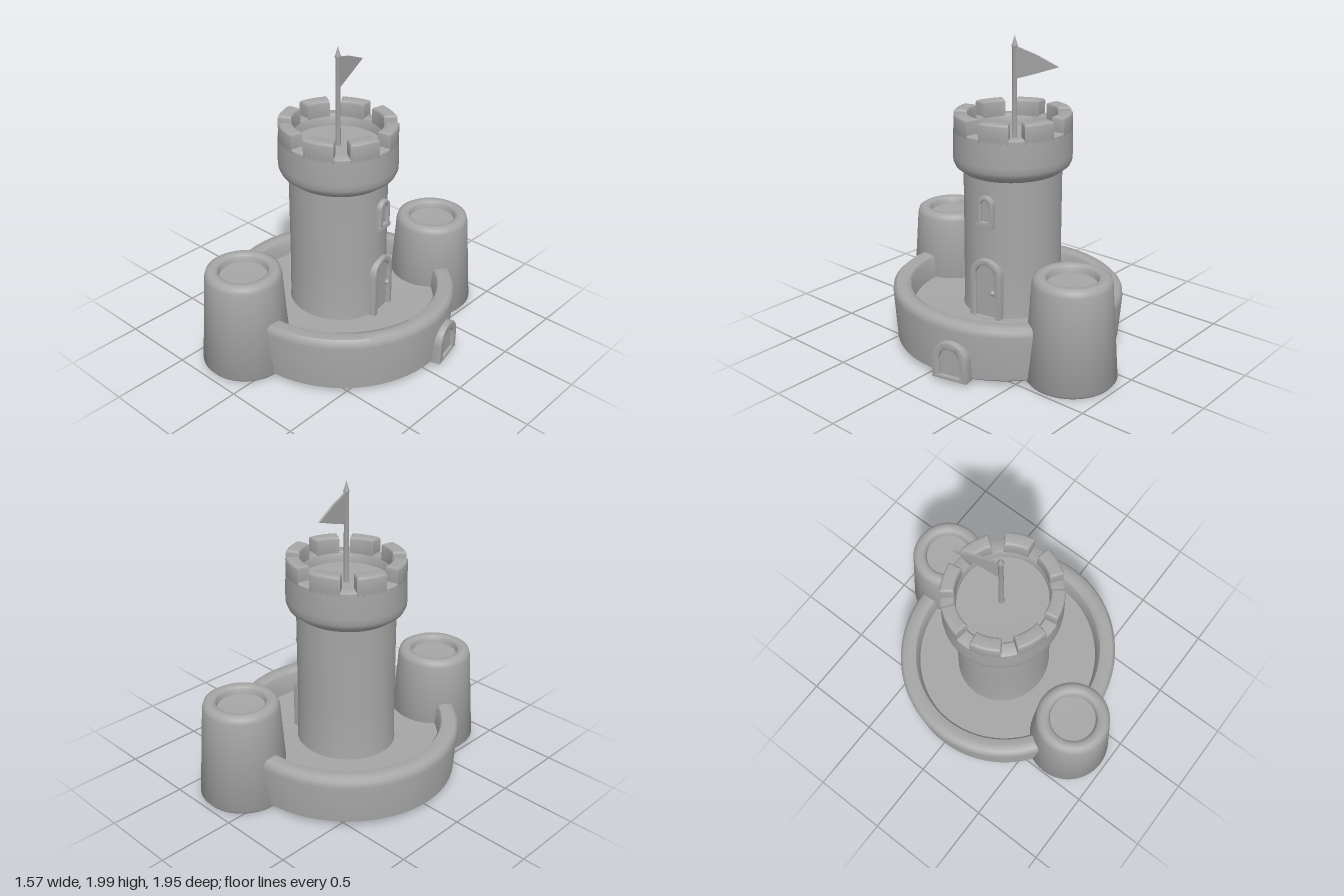
import * as THREE from 'three';
import { toCreasedNormals } from 'three/addons/utils/BufferGeometryUtils.js';

const stone = new THREE.MeshStandardMaterial({ color: 0xa6a6a6 });
stone.name = 'grey stone';
const stoneSheet = stone;

function mesh(name, geometry, x = 0, y = 0, z = 0) {
  const m = new THREE.Mesh(geometry, stoneSheet);
  m.name = name;
  m.position.set(x, y, z);
  return m;
}

function lathe(points, segments = 64) {
  return new THREE.LatheGeometry(points.map(([r, y]) => new THREE.Vector2(r, y)), segments);
}
const crease = (g) => toCreasedNormals(g, 0.75);

// Round-topped outline, standing on y = 0
function archPath(path, width, height, base = 0) {
  const r = width / 2;
  path.moveTo(-r, base);
  path.lineTo(r, base);
  path.lineTo(r, height - r);
  path.absarc(0, height - r, r, 0, Math.PI, false);
  path.lineTo(-r, base);
  return path;
}

// Framed arched opening facing local +z, frame front at z = 0
function archway(name, width, height, border, sill) {
  const g = new THREE.Group();
  g.name = name;
  const b = 0.008;
  const outline = archPath(new THREE.Shape(), width - 2 * b, height - b);
  outline.holes.push(archPath(new THREE.Path(), width - 2 * border, height - border, sill));
  const frame = new THREE.ExtrudeGeometry(outline, {
    depth: 0.07, bevelThickness: b, bevelSize: b, bevelSegments: 2, curveSegments: 12,
  });
  frame.translate(0, 0, -0.07 - b);
  const panel = new THREE.ExtrudeGeometry(
    archPath(new THREE.Shape(), width - border, height - border / 2),
    { depth: 0.05, bevelEnabled: false, curveSegments: 12 });
  panel.translate(0, 0, -0.07);
  g.add(mesh(name + 'Frame', crease(frame)), mesh(name + 'Panel', crease(panel)));
  return g;
}

// Tapered bucket-shaped tower with a shallow dish in its top
function sideTower(name, x, z, bottom, top) {
  const g = lathe([
    [0, bottom], [0.272, bottom], [0.287, bottom + 0.02], [0.243, top - 0.045],
    [0.234, top - 0.015], [0.21, top], [0.175, top], [0.158, top - 0.012],
    [0.15, top - 0.05], [0, top - 0.055],
  ], 48);
  return mesh(name, crease(g), x, 0, z);
}

export function createModel() {
  const model = new THREE.Group();
  model.name = 'castle';

  // Courtyard with its raised rim, whose top leans slightly
  const yard = lathe([
    [0, 0.03], [0.725, 0.03], [0.745, 0.045], [0.766, 0.33], [0.762, 0.365],
    [0.742, 0.385], [0.69, 0.388], [0.655, 0.38], [0.642, 0.36], [0.632, 0.25], [0, 0.24],
  ], 96);
  yard.scale(1, 1, 0.972);
  const p = yard.attributes.position;
  for (let i = 0; i < p.count; i++) {
    if (p.getY(i) > 0.3) p.setY(i, p.getY(i) + 0.027 * p.getX(i) + 0.025 * p.getZ(i));
  }
  model.add(mesh('courtyardWall', crease(yard), -0.017, 0, 0));

  // Two side towers
  model.add(sideTower('frontTower', -0.21, 0.685, 0.025, 0.7));
  model.add(sideTower('rearTower', 0.205, -0.69, 0.01, 0.683));

  // Central keep
  const keep = new THREE.Group();
  keep.name = 'keep';
  keep.position.set(-0.047, 0, -0.012);
  keep.scale.z = 0.95;
  keep.add(mesh('keepShaft', crease(lathe([
    [0, 0.2], [0.337, 0.2], [0.328, 0.27], [0.324, 0.6], [0.324, 1.2], [0, 1.2]]))));
  keep.add(mesh('keepCrown', crease(lathe([
    [0.31, 1.14], [0.328, 1.155], [0.375, 1.19], [0.389, 1.22], [0.391, 1.26], [0.386, 1.425],
    [0.376, 1.432], [0.305, 1.432], [0.296, 1.42], [0.292, 1.36], [0, 1.35]]))));

  // Eight battlements with gaps on the axes and diagonals
  const bevel = 0.016;
  const half = THREE.MathUtils.degToRad(15.2) - bevel / 0.35;
  const sector = new THREE.Shape();
  sector.absarc(0, 0, 0.386 - bevel, -half, half, false);
  sector.absarc(0, 0, 0.296 + bevel, half, -half, true);
  const block = new THREE.ExtrudeGeometry(sector, {
    depth: 0.11, bevelThickness: bevel, bevelSize: bevel, bevelSegments: 3, curveSegments: 8,
  });
  block.rotateX(-Math.PI / 2);
  const merlon = crease(block);
  for (let i = 0; i < 8; i++) {
    const m = mesh('battlement', merlon, 0, 1.403, 0);
    m.rotation.y = (i + 0.5) * Math.PI / 4;
    keep.add(m);
  }
  model.add(keep);

  // Flagpole with pointed finial
  model.add(mesh('flagpole', crease(lathe([
    [0, 1.34], [0.017, 1.34], [0.015, 1.92], [0.02, 1.935], [0.014, 1.95],
    [0.007, 1.975], [0, 2]], 16)), -0.053, 0, -0.018));

  // Triangular pennant
  const pennant = new THREE.Shape([
    new THREE.Vector2(0, 1.725), new THREE.Vector2(0.15, 1.775), new THREE.Vector2(0.3, 1.828),
    new THREE.Vector2(0.15, 1.89), new THREE.Vector2(0, 1.935)]);
  const cloth = new THREE.ExtrudeGeometry(pennant, { depth: 0.012, bevelEnabled: false });
  cloth.translate(0, 0, -0.006);
  const flag = mesh('flag', cloth, -0.053, 0, -0.018);
  flag.rotation.y = Math.PI / 2 + 0.22;
  model.add(flag);

  // Keep window and door, and the outer gate
  const face = THREE.MathUtils.degToRad(100);
  const sill = new THREE.BoxGeometry(0.118, 0.022, 0.06);
  const win = archway('window', 0.112, 0.2, 0.022, 0.024);
  win.add(mesh('windowSill', sill, 0, 0.011, -0.027));
  win.position.set(0.302, 0.86, -0.075);
  win.rotation.y = face;

  const door = archway('door', 0.22, 0.41, 0.034, 0.01);
  door.add(mesh('doorKnob', new THREE.SphereGeometry(0.018, 16, 12), 0.055, 0.19, -0.008));
  door.position.set(0.3, 0.232, -0.072);
  door.rotation.y = face;

  const gate = archway('gate', 0.24, 0.245, 0.042, 0.01);
  gate.position.set(0.76, 0.04, -0.19);
  gate.rotation.y = THREE.MathUtils.degToRad(102.5);
  model.add(win, door, gate);

  return model;
}
